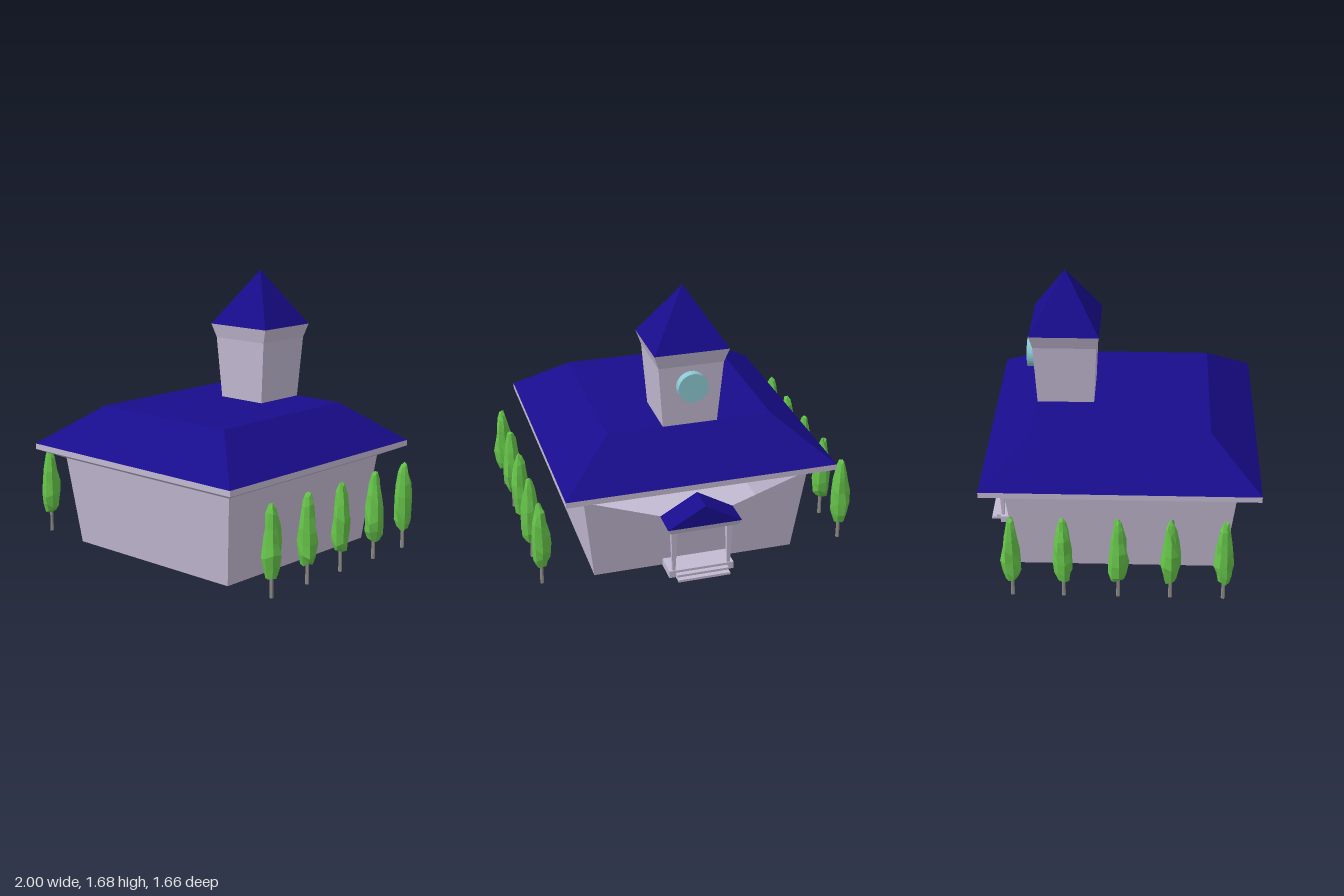
import * as THREE from 'three';

const mat = (color) => new THREE.MeshStandardMaterial({ color, flatShading: true, side: THREE.DoubleSide });

// Joins rectangular cross-sections [y, halfX, zBack, zFront] from bottom to top.
function loft(sections, skipSide = -1, capTop = true) {
  const rings = sections.map(([y, x, z0, z1]) => [[x, y, z1], [x, y, z0], [-x, y, z0], [-x, y, z1]]);
  const pos = [];
  const quad = (a, b, c, d) => pos.push(...a, ...b, ...c, ...a, ...c, ...d);
  for (let i = 0; i + 1 < rings.length; i++) {
    for (let k = 0; k < 4; k++) {
      if (k === skipSide) continue;
      const n = (k + 1) % 4;
      quad(rings[i][k], rings[i][n], rings[i + 1][n], rings[i + 1][k]);
    }
  }
  const [a, b, c, d] = rings[0];
  quad(d, c, b, a);
  if (capTop) quad(...rings[rings.length - 1]);
  const geo = new THREE.BufferGeometry();
  geo.setAttribute('position', new THREE.Float32BufferAttribute(pos, 3));
  geo.computeVertexNormals();
  return geo;
}

function polygon(points) {
  return new THREE.Shape(points.map(([x, y]) => new THREE.Vector2(x, y)));
}

// Lumpy faceted foliage; each seed gives a slightly different outline.
function foliageGeometry(seed) {
  let s = seed * 7919 + 17;
  const rand = () => (s = (s * 16807) % 2147483647) / 2147483647;
  const profile = [[0, 0.12], [0.038, 0.135], [0.054, 0.18], [0.06, 0.25], [0.055, 0.33],
    [0.045, 0.41], [0.034, 0.48], [0.02, 0.53], [0, 0.55]].map(([r, y]) => new THREE.Vector2(r, y));
  const sides = 8;
  const geo = new THREE.LatheGeometry(profile, sides);
  const p = geo.attributes.position;
  const rows = profile.length;
  for (let j = 1; j < rows - 1; j++) {
    for (let i = 0; i < sides; i++) {
      const k = 0.82 + 0.3 * rand(), dy = (rand() - 0.5) * 0.035;
      // The seam column moves together with the first one
      for (const c of i === 0 ? [0, sides] : [i]) {
        const v = c * rows + j;
        p.setXYZ(v, p.getX(v) * k, Math.min(0.55, Math.max(0.12, p.getY(v) + dy)), p.getZ(v) * k);
      }
    }
  }
  geo.computeVertexNormals();
  return geo.rotateY(rand() * 6);
}

export function createModel() {
  const model = new THREE.Group();
  const wall = mat(0xc3bad3), roof = mat(0x180c8c), glass = mat(0x8cc8d2);
  const leaf = mat(0x66c44a), bark = mat(0x8c8a86);
  const add = (name, geo, material, parent = model) => {
    const mesh = new THREE.Mesh(geo, material);
    mesh.name = name;
    parent.add(mesh);
    return mesh;
  };

  // Main hall: flared walls, with the back wall notched down to the porch
  add('walls', loft([[0, 0.62, -0.615, 0.635], [0.54, 0.685, -0.675, 0.695]], 1, false), wall);
  const back = new THREE.ShapeGeometry(polygon([
    [-0.62, 0], [0.62, 0], [0.685, 0.54], [0.225, 0.365], [-0.225, 0.365], [-0.685, 0.54]]));
  back.rotateY(Math.PI);
  const bp = back.attributes.position;
  for (let i = 0; i < bp.count; i++) bp.setZ(i, -0.615 - (0.06 * bp.getY(i)) / 0.54);
  back.computeVertexNormals();
  add('backWall', back, wall);

  // Eaves and hipped roof with a flat top
  add('eaves', loft([[0.54, 0.685, -0.675, 0.695], [0.6, 0.815, -0.81, 0.83],
    [0.635, 0.815, -0.81, 0.83]], -1, false), wall);
  add('mainRoof', loft([[0.635, 0.815, -0.81, 0.83], [0.875, 0.5, -0.515, 0.535]]), roof);

  // Clock tower
  const tower = new THREE.Group();
  tower.name = 'tower';
  tower.position.z = -0.338;
  model.add(tower);
  add('towerWalls', loft([[0.87, 0.165, -0.172, 0.172], [1.255, 0.196, -0.19, 0.19],
    [1.34, 0.225, -0.208, 0.208]]), wall, tower);
  add('towerRoof', loft([[1.34, 0.225, -0.208, 0.208], [1.68, 0, 0, 0]], -1, false), roof, tower);
  const clock = add('clock', new THREE.CylinderGeometry(0.09, 0.09, 0.07, 32).rotateX(Math.PI / 2), glass, tower);
  clock.position.set(0, 1.13, -0.202);

  // Porch: gable roof, beam, tapered columns, platform and steps
  const porch = new THREE.Group();
  porch.name = 'porch';
  model.add(porch);
  const gable = new THREE.ExtrudeGeometry(polygon([[-0.225, 0.365], [0.225, 0.365], [0, 0.495]]),
    { depth: 0.17, bevelEnabled: false });
  add('porchRoof', gable.translate(0, 0, -0.83), roof, porch);
  add('porchBeam', loft([[0.33, 0.205, -0.815, -0.64], [0.365, 0.225, -0.83, -0.64]]), wall, porch);
  for (const side of [-1, 1]) {
    const column = add('column', loft([[0.04, 0.009, -0.009, 0.009], [0.33, 0.02, -0.02, 0.02]]), wall, porch);
    column.position.set(side * 0.17, 0, -0.755);
  }
  [[0.045, 0.2, -0.77], [0.03, 0.16, -0.8], [0.015, 0.16, -0.83]].forEach(([h, x, z], i) => {
    add(i ? 'step' : 'platform', loft([[0, x, z, -0.61], [h, x, z, -0.61]]), wall, porch);
  });

  // Rows of trees along both sides
  let seed = 1;
  for (const side of [-1, 1]) {
    for (const z of [0.62, 0.31, 0.005, -0.315, -0.615]) {
      const tree = new THREE.Group();
      tree.name = 'tree';
      tree.position.set(side * 0.935, 0, z);
      add('trunk', new THREE.CylinderGeometry(0.01, 0.012, 0.14, 6).translate(0, 0.075, 0), bark, tree);
      add('foliage', foliageGeometry(seed++), leaf, tree);
      model.add(tree);
    }
  }
  return model;
}
